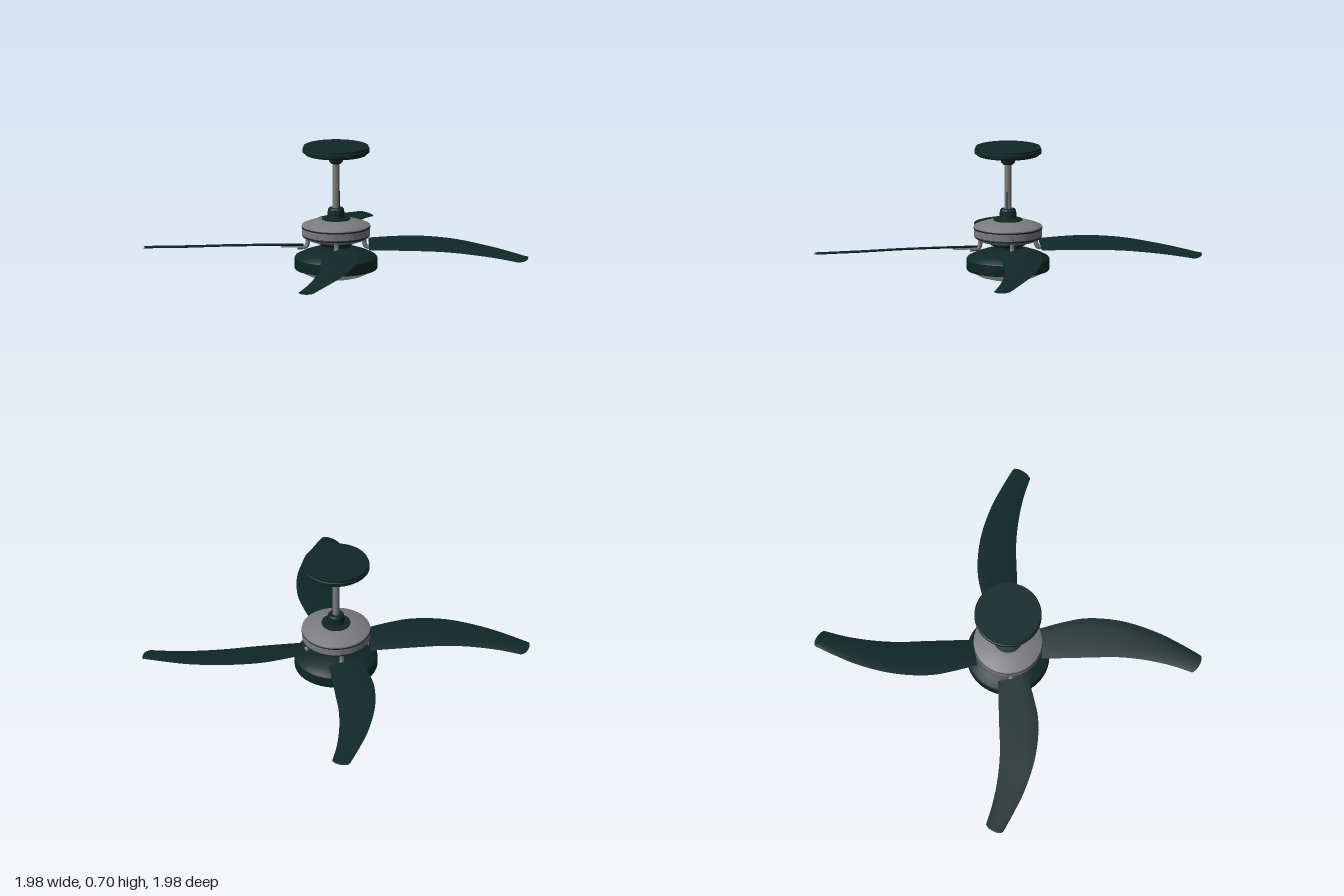
import * as THREE from 'three';
import { toCreasedNormals } from 'three/addons/utils/BufferGeometryUtils.js';

const darkGreen = new THREE.MeshStandardMaterial({ color: 0x0f2827 });
darkGreen.name = 'dark green';
const metal = new THREE.MeshStandardMaterial({ color: 0x7c7c7f });
metal.name = 'grey metal';
const glass = new THREE.MeshStandardMaterial({ color: 0xcfcdc8 });
glass.name = 'frosted glass';

function add(parent, name, geometry, material) {
  const mesh = new THREE.Mesh(geometry, material);
  mesh.name = name;
  parent.add(mesh);
  return mesh;
}

// Turned part; the profile runs from bottom to top as [radius, height]
function turned(profile) {
  const points = profile.map(([r, y]) => new THREE.Vector2(r, y));
  return toCreasedNormals(new THREE.LatheGeometry(points, 64), 0.5);
}

// Swept, pitched blade pointing along +x, with a thin lens section
function bladeGeometry() {
  const curve = (pts) => new THREE.CatmullRomCurve3(pts.map((p) => new THREE.Vector3(...p)));
  const high = curve([[0.17, 0.203, -0.083], [0.3, 0.206, -0.105], [0.42, 0.206, -0.114], [0.6, 0.197, -0.083],
    [0.78, 0.175, -0.008], [0.9, 0.158, 0.066], [0.985, 0.144, 0.125]]);
  const low = curve([[0.17, 0.168, 0.07], [0.3, 0.168, 0.08], [0.42, 0.167, 0.089], [0.56, 0.163, 0.1],
    [0.7, 0.154, 0.127], [0.83, 0.143, 0.167], [0.935, 0.132, 0.212]]);
  const stations = 32, across = 8, ring = across * 2;
  const pos = [], index = [];
  for (let s = 0; s <= stations; s++) {
    const t = s / stations;
    const a = high.getPoint(t), b = low.getPoint(t);
    for (let k = 0; k < ring; k++) {
      const u = k <= across ? k / across : 2 - k / across;
      const lens = Math.sqrt(Math.sin(Math.PI * u) + 1e-9);
      const p = a.clone().lerp(b, u);
      p.x += 0.022 * lens * t ** 12; // rounded tip
      p.y += (k <= across ? 1 : -1) * 0.006 * lens;
      pos.push(p.x, p.y, p.z);
    }
  }
  for (let s = 0; s < stations; s++) {
    for (let k = 0; k < ring; k++) {
      const a = s * ring + k, b = s * ring + (k + 1) % ring;
      index.push(a, b, a + ring, b, b + ring, a + ring);
    }
  }
  const end = stations * ring;
  for (let k = 1; k < ring - 1; k++) index.push(0, k + 1, k, end, end + k, end + k + 1);
  const g = new THREE.BufferGeometry();
  g.setAttribute('position', new THREE.Float32BufferAttribute(pos, 3));
  g.setIndex(index);
  return toCreasedNormals(g, 0.6);
}

export function createModel() {
  const fan = new THREE.Group();
  fan.name = 'ceilingFan';

  // Ceiling mount and hanging rod
  add(fan, 'canopy', turned([[0, 0.612], [0.025, 0.614], [0.036, 0.625], [0.04, 0.645], [0.06, 0.648],
    [0.16, 0.664], [0.165, 0.674], [0.174, 0.676], [0.174, 0.692], [0.169, 0.695], [0.169, 0.705], [0, 0.705]]), darkGreen);
  const rod = add(fan, 'rod', new THREE.CylinderGeometry(0.018, 0.018, 0.3, 32), metal);
  rod.position.y = 0.48;
  const cable = add(fan, 'cable', new THREE.CylinderGeometry(0.003, 0.003, 0.1, 8), darkGreen);
  cable.position.set(0.017, 0.42, 0.008);
  add(fan, 'rodCollar', turned([[0.074, 0.31], [0.074, 0.326], [0.045, 0.33], [0.042, 0.372],
    [0.036, 0.38], [0, 0.38]]), darkGreen);

  // Motor housing with two dark seams
  add(fan, 'motorHousing', turned([[0, 0.212], [0.14, 0.212], [0.155, 0.218], [0.166, 0.226], [0.17, 0.236],
    [0.177, 0.24], [0.177, 0.276], [0.172, 0.28], [0.178, 0.284], [0.176, 0.29], [0.16, 0.297],
    [0.12, 0.31], [0.075, 0.32], [0, 0.322]]), metal);
  for (const [r, y] of [[0.173, 0.28], [0.169, 0.235]]) {
    const seam = add(fan, 'motorSeam', new THREE.TorusGeometry(r, 0.006, 8, 64), darkGreen);
    seam.rotation.x = Math.PI / 2;
    seam.position.y = y;
  }

  // Hub and light fitting
  add(fan, 'hub', turned([[0.075, 0.16], [0.075, 0.185], [0.105, 0.2], [0.105, 0.213]]), darkGreen);
  add(fan, 'lightHousing', turned([[0, 0.062], [0.212, 0.06], [0.214, 0.064], [0.214, 0.118], [0.208, 0.126],
    [0.17, 0.145], [0.12, 0.162], [0.08, 0.17], [0, 0.172]]), darkGreen);
  add(fan, 'lightBowl', turned([[0, 0.004], [0.05, 0.007], [0.1, 0.015], [0.145, 0.028], [0.175, 0.043],
    [0.19, 0.055], [0.194, 0.064]]), glass);

  // Four blades, each on a bent bracket
  const blade = bladeGeometry();
  const elbow = new THREE.TubeGeometry(new THREE.CatmullRomCurve3([[0.145, 0.222, 0], [0.146, 0.195, 0],
    [0.154, 0.177, 0], [0.175, 0.172, 0], [0.2, 0.172, 0]].map((p) => new THREE.Vector3(...p))), 20, 0.012, 12);
  for (let i = 0; i < 4; i++) {
    const arm = new THREE.Group();
    arm.name = 'bladeArm';
    arm.rotation.y = i * Math.PI / 2;
    add(arm, 'blade', blade, darkGreen);
    add(arm, 'bracketElbow', elbow, metal);
    const plate = add(arm, 'bracketPlate', new THREE.BoxGeometry(0.12, 0.012, 0.04), metal);
    plate.position.set(0.225, 0.175, 0);
    plate.rotation.x = 0.2;
    fan.add(arm);
  }
  return fan;
}
